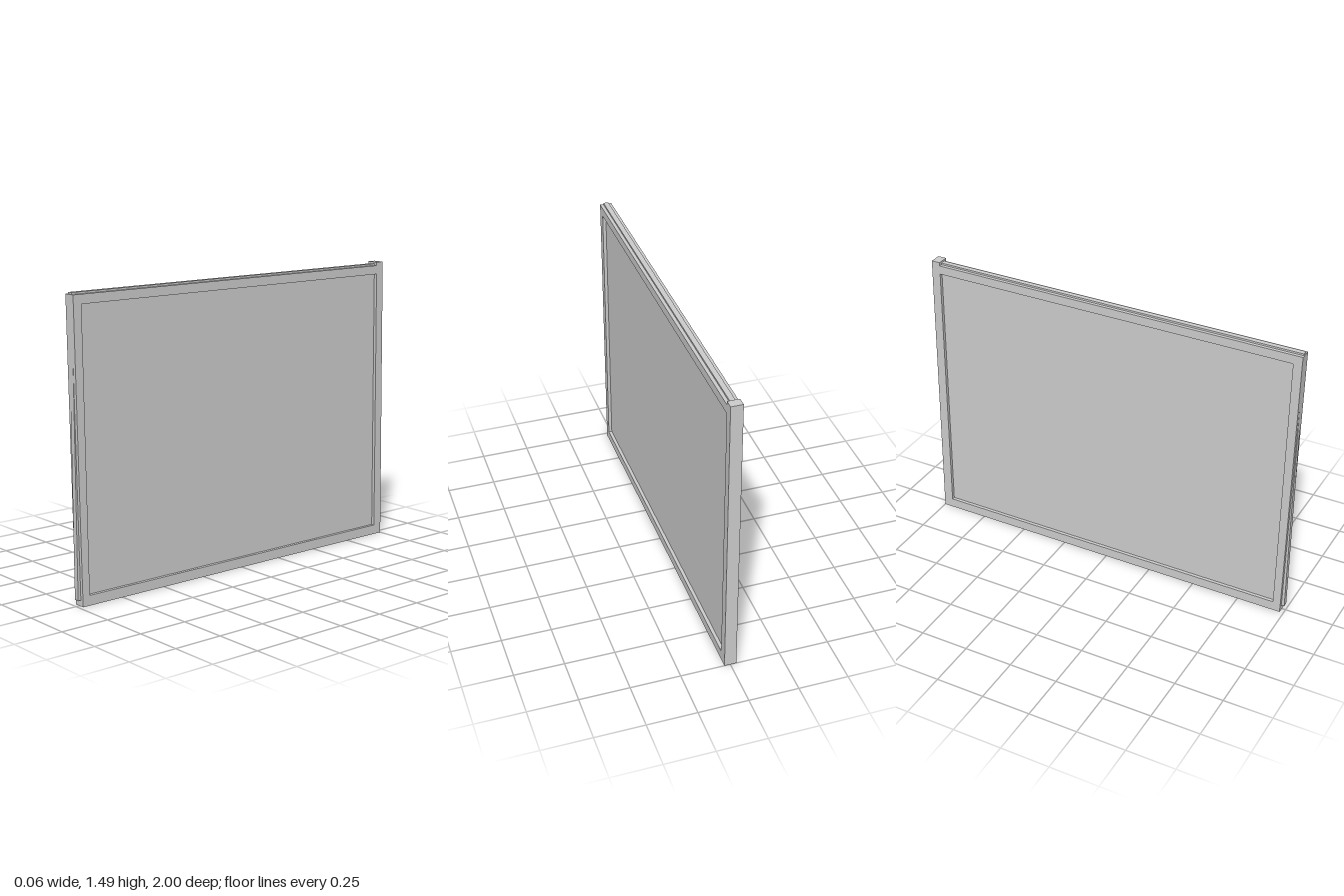
import * as THREE from 'three';

const material = new THREE.MeshStandardMaterial({ color: 0xcccccc, flatShading: true });

// Flat board: outline of [z, y] corners, thickened evenly about x = 0
function board(name, corners, thickness) {
  const shape = new THREE.Shape(corners.map(([z, y]) => new THREE.Vector2(z, y)));
  const geometry = new THREE.ExtrudeGeometry(shape, { depth: thickness, bevelEnabled: false });
  geometry.translate(0, 0, -thickness / 2).rotateY(-Math.PI / 2);
  const mesh = new THREE.Mesh(geometry, material);
  mesh.name = name;
  return mesh;
}

export function createModel() {
  const model = new THREE.Group();
  model.name = 'framedPanel';
  const depth = 0.06;

  // Slightly leaning frame, mitre-free joints
  model.add(
    board('bottomRail', [[0.98, 0], [-1, 0], [-0.95, 0.05], [0.98, 0.05]], depth),
    board('topRail', [[0.999, 1.422], [-0.936, 1.422], [-0.936, 1.467], [1, 1.467]], depth),
    board('frontStile', [[0.981, 0.05], [0.941, 0.05], [0.955, 1.422], [0.999, 1.422]], depth),
    board('rearStile', [[-0.95, 0.05], [-1, 0], [-0.98, 1.485], [-0.935, 1.485]], depth)
  );

  // Thin sheet, standing proud of the frame along the top and front edges
  model.add(board('panel', [[0.996, 0.03], [-0.96, 0.03], [-0.96, 1.476], [0.996, 1.476]], 0.026));
  return model;
}
